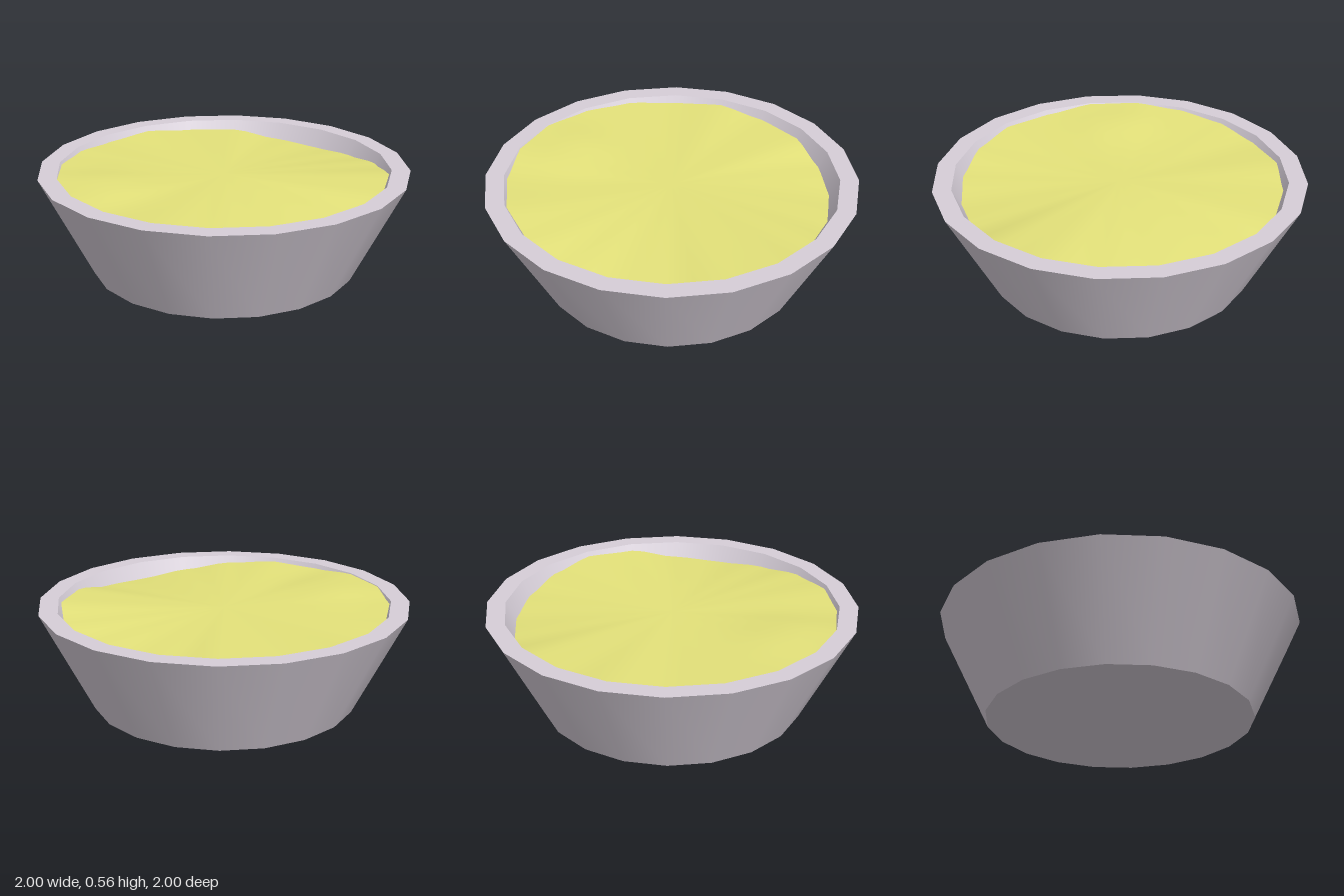
import * as THREE from 'three';
import { mergeGeometries, mergeVertices } from 'three/addons/utils/BufferGeometryUtils.js';

const SIDES = 20, TOP = 0.555, RIM = 0.9, SLOPE = 0.52;

// One smooth band of the bowl; separate bands keep the edges between them sharp.
const band = (...pts) =>
  new THREE.LatheGeometry(pts.map(([r, y]) => new THREE.Vector2(r, y)), SIDES);

// Height of the filling along the wall, every 18 degrees from +x towards +z.
const EDGE = [0.455, 0.47, 0.5, 0.53, 0.52, 0.475, 0.465, 0.485, 0.515, 0.535,
  0.53, 0.55, 0.552, 0.54, 0.53, 0.515, 0.525, 0.505, 0.5, 0.465];

function edgeHeight(angle) {
  const a = (angle / (2 * Math.PI) + 1) * EDGE.length;
  const i = Math.floor(a), f = a - i, s = f * f * (3 - 2 * f);
  return THREE.MathUtils.lerp(EDGE[i % EDGE.length], EDGE[(i + 1) % EDGE.length], s);
}

// Gently wavy disc that meets the sloping inner wall.
function fillingGeometry() {
  let geo = new THREE.RingGeometry(0, 1, 80, 12).rotateX(-Math.PI / 2);
  geo.deleteAttribute('uv');
  geo.deleteAttribute('normal');
  const p = geo.attributes.position;
  for (let i = 0; i < p.count; i++) {
    const x = p.getX(i), z = p.getZ(i), t = Math.hypot(x, z);
    const edge = edgeHeight(Math.atan2(z, x));
    const r = RIM + 0.006 - (TOP - edge) * SLOPE;
    const swell = 0.02 * Math.exp(-((x + 0.65) ** 2 + (z + 0.37) ** 2) / 0.07) * (1 - t ** 6);
    p.setXYZ(i, x * r, 0.512 + (edge - 0.512) * t ** 1.8 + swell, z * r);
  }
  geo = mergeVertices(geo, 1e-4);
  geo.computeVertexNormals();
  return geo;
}

export function createModel() {
  const group = new THREE.Group();

  // Bowl: base, outer wall, flat rim, inner wall and floor
  const bowl = new THREE.Mesh(
    mergeGeometries([
      band([0, 0], [0.725, 0]),
      band([0.725, 0], [1, TOP]),
      band([1, TOP], [RIM, TOP]),
      band([RIM, TOP], [RIM - (TOP - 0.06) * SLOPE, 0.06]),
      band([RIM - (TOP - 0.06) * SLOPE, 0.06], [0, 0.06]),
    ]),
    new THREE.MeshStandardMaterial({ color: 0xd6ced8 }));
  bowl.name = 'bowl';

  // Filling
  const filling = new THREE.Mesh(fillingGeometry(),
    new THREE.MeshStandardMaterial({ color: 0xe4e27a, side: THREE.DoubleSide }));
  filling.name = 'filling';

  group.add(bowl, filling);
  return group;
}
